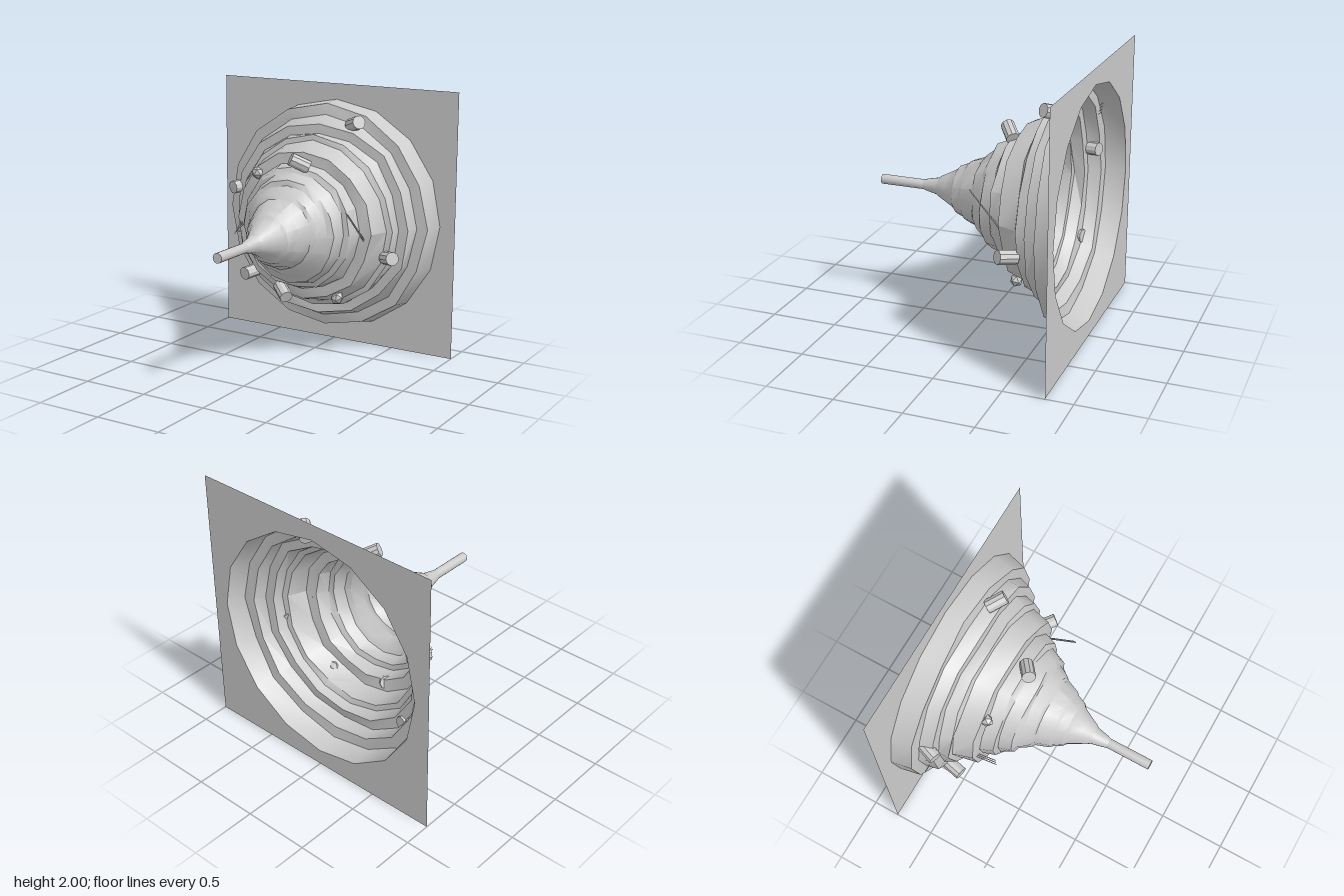
import * as THREE from 'three';
import { toCreasedNormals } from 'three/addons/utils/BufferGeometryUtils.js';

const SIDES = 16;
const grey = new THREE.MeshStandardMaterial({ color: 0xcccccc, side: THREE.DoubleSide });
const greyFlat = new THREE.MeshStandardMaterial({ color: 0xcccccc, flatShading: true });

// repeatable value in -1..1 for a ring and sector
function jitter(ring, sector) {
  const s = Math.sin(ring * 12.99 + sector * 78.23 + 1.7) * 437.58;
  return (s - Math.floor(s)) * 2 - 1;
}

export function createModel() {
  const model = new THREE.Group();
  const add = (name, geometry, material = grey) => {
    const mesh = new THREE.Mesh(geometry, material);
    mesh.name = name;
    model.add(mesh);
    return mesh;
  };

  // Stepped hollow funnel: [radius, z] from the open rim to the neck
  const profile = [
    [0.88, -0.80], [0.85, -0.65], [0.77, -0.64], [0.74, -0.55], [0.67, -0.54],
    [0.65, -0.46], [0.61, -0.45], [0.56, -0.31], [0.48, -0.30], [0.45, -0.21],
    [0.41, -0.19], [0.38, -0.10], [0.34, -0.08], [0.29, -0.01], [0.26, 0.01],
    [0.22, 0.11], [0.20, 0.13], [0.175, 0.19], [0.15, 0.21], [0.11, 0.28],
    [0.08, 0.34], [0.065, 0.36], [0.045, 0.45], [0.035, 0.48],
  ];
  const funnel = new THREE.LatheGeometry(
    profile.map(([r, z]) => new THREE.Vector2(r, z)), SIDES);
  const p = funnel.attributes.position;
  for (let i = 0; i < p.count; i++) {
    const ring = i % profile.length;
    const sector = Math.floor(i / profile.length) % SIDES;
    if (ring === 0) continue;
    const k = 1 + 0.022 * jitter(Math.floor((ring + 1) / 2), sector);
    const dz = ring < 14 ? 0.012 * jitter(Math.floor(ring / 2) + 30, sector) : 0;
    p.setXYZ(i, p.getX(i) * k, p.getY(i) + dz, p.getZ(i) * k);
  }
  funnel.rotateX(Math.PI / 2);
  funnel.translate(0, 1, 0);
  add('funnel', toCreasedNormals(funnel, 0.5));

  // Narrow stem at the tip
  const stem = new THREE.CylinderGeometry(0.036, 0.036, 0.37, SIDES);
  stem.rotateX(Math.PI / 2);
  add('stem', toCreasedNormals(stem, 0.6)).position.set(0, 1, 0.625);

  // Square ground sheet with a hole matching the rim
  const sheet = new THREE.Shape([
    new THREE.Vector2(-1, -1), new THREE.Vector2(1, -1),
    new THREE.Vector2(1, 1), new THREE.Vector2(-1, 1),
  ]);
  const rim = [];
  for (let i = 0; i < SIDES; i++) {
    const a = -i / SIDES * Math.PI * 2;
    rim.push(new THREE.Vector2(0.88 * Math.cos(a), 0.88 * Math.sin(a)));
  }
  sheet.holes.push(new THREE.Path(rim));
  add('groundSheet', new THREE.ShapeGeometry(sheet)).position.set(0, 1, -0.8);

  // Barrels lodged in the terraces: centre, then axis direction
  const barrelGeometry = new THREE.CylinderGeometry(0.05, 0.05, 0.145, 10, 3);
  const up = new THREE.Vector3(0, 1, 0);
  const barrels = [
    [[0.28, 1.745, -0.58], [0.12, 0.045, 0.09]],
    [[0.035, 1.49, -0.2], [0.13, -0.08, -0.1]],
    [[-0.72, 1.18, -0.57], [0.05, 0.01, -0.14]],
    [[0.665, 0.82, -0.405], [0.1, 0.025, 0.09]],
    [[-0.58, 0.525, -0.5], [0.03, 0.01, -0.14]],
    [[-0.13, 0.495, -0.24], [0.11, -0.06, 0.08]],
  ];
  for (const [centre, axis] of barrels) {
    const barrel = add('barrel', barrelGeometry, greyFlat);
    barrel.position.set(...centre);
    barrel.quaternion.setFromUnitVectors(up, new THREE.Vector3(...axis).normalize());
  }

  // Boulders
  for (const [x, y, z] of [[-0.38, 1.36, -0.29], [0.28, 0.48, -0.34]]) {
    const rock = add('boulder', new THREE.IcosahedronGeometry(0.05, 0), greyFlat);
    rock.position.set(x, y, z);
    rock.rotation.set(x * 3, y, 0.4);
    rock.scale.set(1.1, 0.9, 0.9);
  }

  // Thin poles between two ends
  const pole = (from, to, radius) => {
    const a = new THREE.Vector3(...from), b = new THREE.Vector3(...to);
    const mesh = add('pole', new THREE.CylinderGeometry(radius, radius, a.distanceTo(b), 6), greyFlat);
    mesh.position.copy(a).add(b).multiplyScalar(0.5);
    mesh.quaternion.setFromUnitVectors(up, b.sub(a).normalize());
  };
  for (const d of [0, 0.015]) {
    pole([0.49 + d / 2, 1.2 - d, -0.07 - d], [0.515, 0.95 + d, -0.3], 0.004);
  }
  for (const d of [0, 0.015, 0.03]) {
    pole([-0.54 + d, 0.97 - d / 2, -0.3], [-0.505 + d / 2, 0.905 + d, -0.16 - d / 2], 0.003);
  }
  pole([-0.78, 0.805, -0.6], [-0.72, 0.805, -0.6], 0.004);

  // Small scraps near the upper edge
  for (let i = 0; i < 4; i++) {
    const x = -0.59 + 0.013 * i, y = 1.58 - 0.02 * i;
    pole([x, y, -0.69], [x + 0.02, y - 0.015, -0.67], 0.003);
  }
  return model;
}
